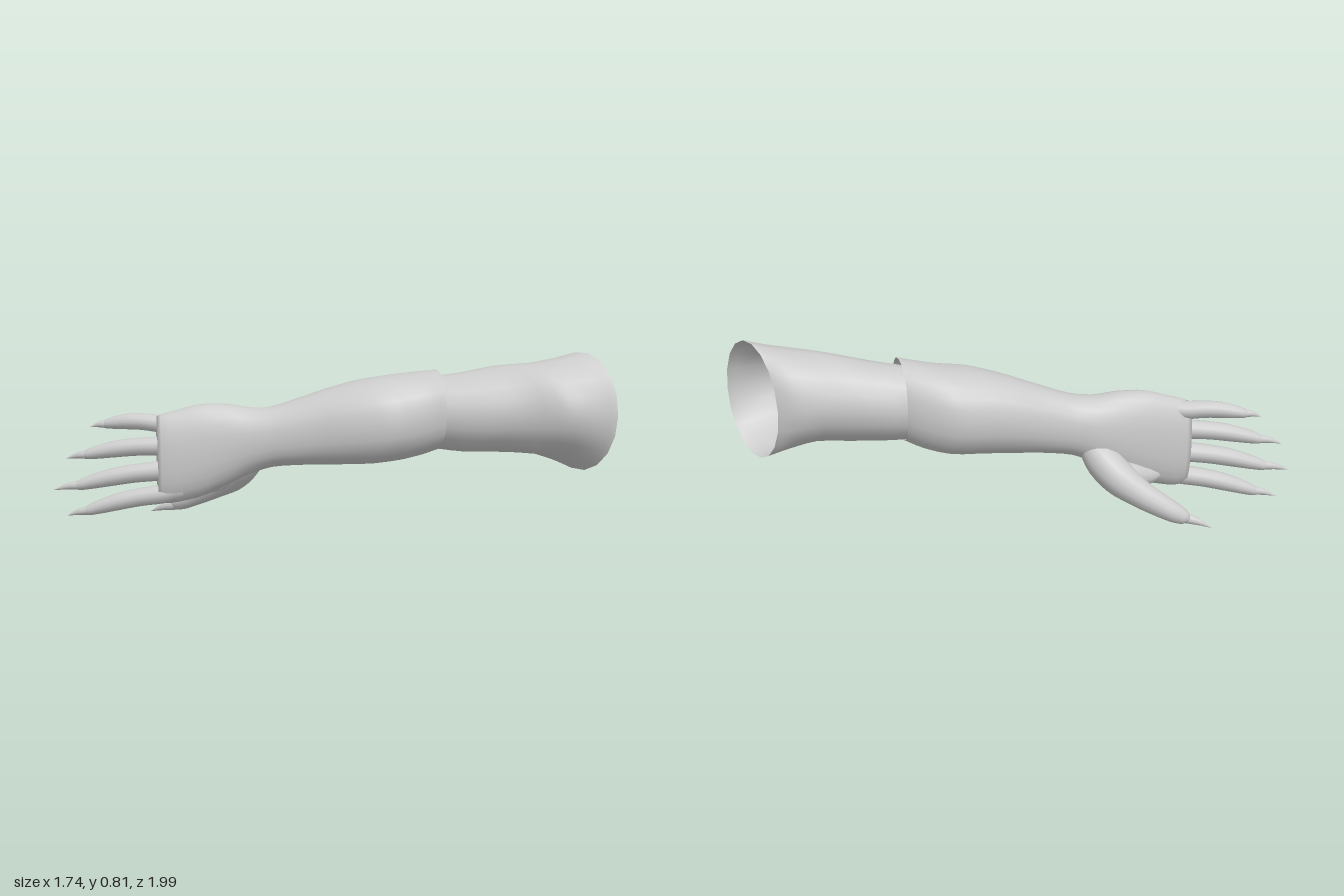
import * as THREE from 'three';

const V = (x, y, z) => new THREE.Vector3(x, y, z);
const material = new THREE.MeshStandardMaterial({ color: 0xcccccc, side: THREE.DoubleSide });

// Skin through rings { c: centre, s: side half-axis, u: upper half-axis },
// smoothed lengthwise; power < 1 squares the section off.
function loft(name, rings, { sides = 18, sub = 3, power = 1, cap = true } = {}) {
  const [cc, sc, uc] = ['c', 's', 'u'].map(k => new THREE.CatmullRomCurve3(rings.map(r => r[k])));
  const rows = (rings.length - 1) * sub;
  const pos = [], index = [];
  const bend = v => Math.sign(v) * Math.abs(v) ** power;
  for (let i = 0; i <= rows; i++) {
    const t = i / rows;
    const c = cc.getPoint(t), s = sc.getPoint(t), u = uc.getPoint(t);
    for (let j = 0; j < sides; j++) {
      const a = (j / sides) * Math.PI * 2;
      const p = c.clone().addScaledVector(s, bend(Math.cos(a))).addScaledVector(u, bend(Math.sin(a)));
      pos.push(p.x, p.y, p.z);
      if (i === rows) continue;
      const k = i * sides + j, n = i * sides + (j + 1) % sides;
      index.push(k, k + sides, n, n, k + sides, n + sides);
    }
  }
  if (cap) {
    const tip = pos.length / 3, first = rows * sides;
    pos.push(...cc.getPoint(1).toArray());
    for (let j = 0; j < sides; j++) index.push(first + j, tip, first + (j + 1) % sides);
  }
  const g = new THREE.BufferGeometry();
  g.setAttribute('position', new THREE.Float32BufferAttribute(pos, 3));
  g.setIndex(index);
  g.computeVertexNormals();
  const mesh = new THREE.Mesh(g, material);
  mesh.name = name;
  return mesh;
}

// Upright section between an outer edge (x, z) and an inner edge (x, z).
const slice = ([fx, fz, bx, bz, y0, y1]) => ({
  c: V((fx + bx) / 2, (y0 + y1) / 2, (fz + bz) / 2),
  s: V((bx - fx) / 2, 0, (bz - fz) / 2),
  u: V(0, (y1 - y0) / 2, 0),
});

// Round sections along a path of [x, y, z, radius].
function roundRings(path) {
  const pts = path.map(p => V(p[0], p[1], p[2]));
  return pts.map((c, i) => {
    const d = pts[Math.min(i + 1, pts.length - 1)].clone().sub(pts[Math.max(i - 1, 0)]).normalize();
    const s = d.clone().cross(V(0, 1, 0)).normalize();
    const u = s.clone().cross(d);
    return { c, s: s.multiplyScalar(path[i][3]), u: u.multiplyScalar(path[i][3]) };
  });
}

// Tapered finger from root to claw base, ending in a pointed claw.
function finger(name, root, base, tip, r) {
  const group = new THREE.Group();
  group.name = name;
  const profile = [[-0.25, 0.9], [0, 1], [0.3, 0.95], [0.55, 0.9], [0.8, 0.72], [0.95, 0.52], [1.02, 0.2]];
  const a = V(...root), b = V(...base);
  const path = profile.map(([t, k]) => {
    const p = a.clone().lerp(b, t);
    return [p.x, p.y + 0.012 * Math.sin(Math.max(t, 0) * Math.PI), p.z, r * k];
  });
  group.add(loft(name + 'Flesh', roundRings(path), { sides: 12 }));
  group.add(claw(name + 'Claw', a.lerp(b, 0.92).toArray(), tip, r * 0.5));
  return group;
}

function claw(name, from, to, r) {
  const mid = from.map((v, i) => (v + to[i]) / 2);
  mid[1] += 0.006;
  return loft(name, roundRings([[...from, r], [...mid, r * 0.68], [...to, 0.001]]), { sides: 8 });
}

export function createModel() {
  const arm = new THREE.Group();
  arm.name = 'arm';

  // Upper arm, open at the shoulder and tucked into the elbow
  arm.add(loft('upperArm', [
    [0.82, 0.99, 0.87, 0.55, 0.27, 0.82],
    [0.72, 0.95, 0.83, 0.47, 0.31, 0.795],
    [0.61, 0.88, 0.74, 0.37, 0.35, 0.77],
    [0.53, 0.72, 0.64, 0.27, 0.355, 0.755],
    [0.41, 0.56, 0.52, 0.17, 0.355, 0.72],
    [0.30, 0.40, 0.45, 0.09, 0.37, 0.70],
    [0.22, 0.28, 0.36, 0.03, 0.40, 0.66],
  ].map(slice), { cap: false }));

  // Forearm narrowing to the wrist, then flattening into the palm
  arm.add(loft('forearmAndPalm', [
    [0.31, 0.42, 0.49, 0.13, 0.365, 0.735],
    [0.26, 0.37, 0.45, 0.04, 0.335, 0.725],
    [0.19, 0.32, 0.38, -0.07, 0.31, 0.71],
    [0.10, 0.27, 0.24, -0.17, 0.298, 0.69],
    [0.00, 0.14, 0.14, -0.235, 0.293, 0.655],
    [-0.10, -0.03, 0.03, -0.30, 0.288, 0.605],
    [-0.20, -0.18, -0.07, -0.375, 0.275, 0.56],
    [-0.27, -0.27, -0.125, -0.44, 0.24, 0.555],
    [-0.34, -0.35, -0.21, -0.515, 0.185, 0.572],
    [-0.44, -0.45, -0.33, -0.60, 0.125, 0.568],
    [-0.53, -0.545, -0.435, -0.67, 0.10, 0.535],
    [-0.56, -0.59, -0.49, -0.70, 0.11, 0.515],
  ].map(slice), { sides: 24, power: 0.88 }));

  // Four fingers: root, claw base, claw tip, radius
  [
    ['littleFinger', [-0.50, 0.478, -0.655], [-0.665, 0.468, -0.875], [-0.71, 0.455, -0.92], 0.042],
    ['ringFinger', [-0.515, 0.375, -0.63], [-0.755, 0.325, -0.915], [-0.81, 0.308, -0.98], 0.045],
    ['middleFinger', [-0.52, 0.26, -0.62], [-0.80, 0.18, -0.925], [-0.87, 0.162, -1.0], 0.047],
    ['indexFinger', [-0.51, 0.148, -0.62], [-0.765, 0.055, -0.905], [-0.82, 0.035, -0.97], 0.046],
  ].forEach(f => arm.add(finger(...f)));

  // Thumb growing out of the heel of the hand
  const thumb = new THREE.Group();
  thumb.name = 'thumb';
  thumb.add(loft('thumbFlesh', roundRings([
    [-0.17, 0.335, -0.36, 0.06],
    [-0.175, 0.265, -0.44, 0.082],
    [-0.185, 0.205, -0.52, 0.08],
    [-0.215, 0.15, -0.61, 0.066],
    [-0.255, 0.105, -0.69, 0.056],
    [-0.295, 0.068, -0.755, 0.047],
    [-0.32, 0.048, -0.795, 0.033],
    [-0.33, 0.042, -0.815, 0.012],
  ]), { sides: 14 }));
  thumb.add(claw('thumbClaw', [-0.325, 0.042, -0.785], [-0.39, 0.004, -0.895], 0.026));
  arm.add(thumb);

  // Web of flesh between thumb and palm
  arm.add(loft('thumbWeb', roundRings([
    [-0.19, 0.25, -0.45, 0.05],
    [-0.26, 0.20, -0.525, 0.06],
    [-0.34, 0.18, -0.565, 0.045],
    [-0.42, 0.18, -0.60, 0.015],
  ]), { sides: 12 }));

  return arm;
}
